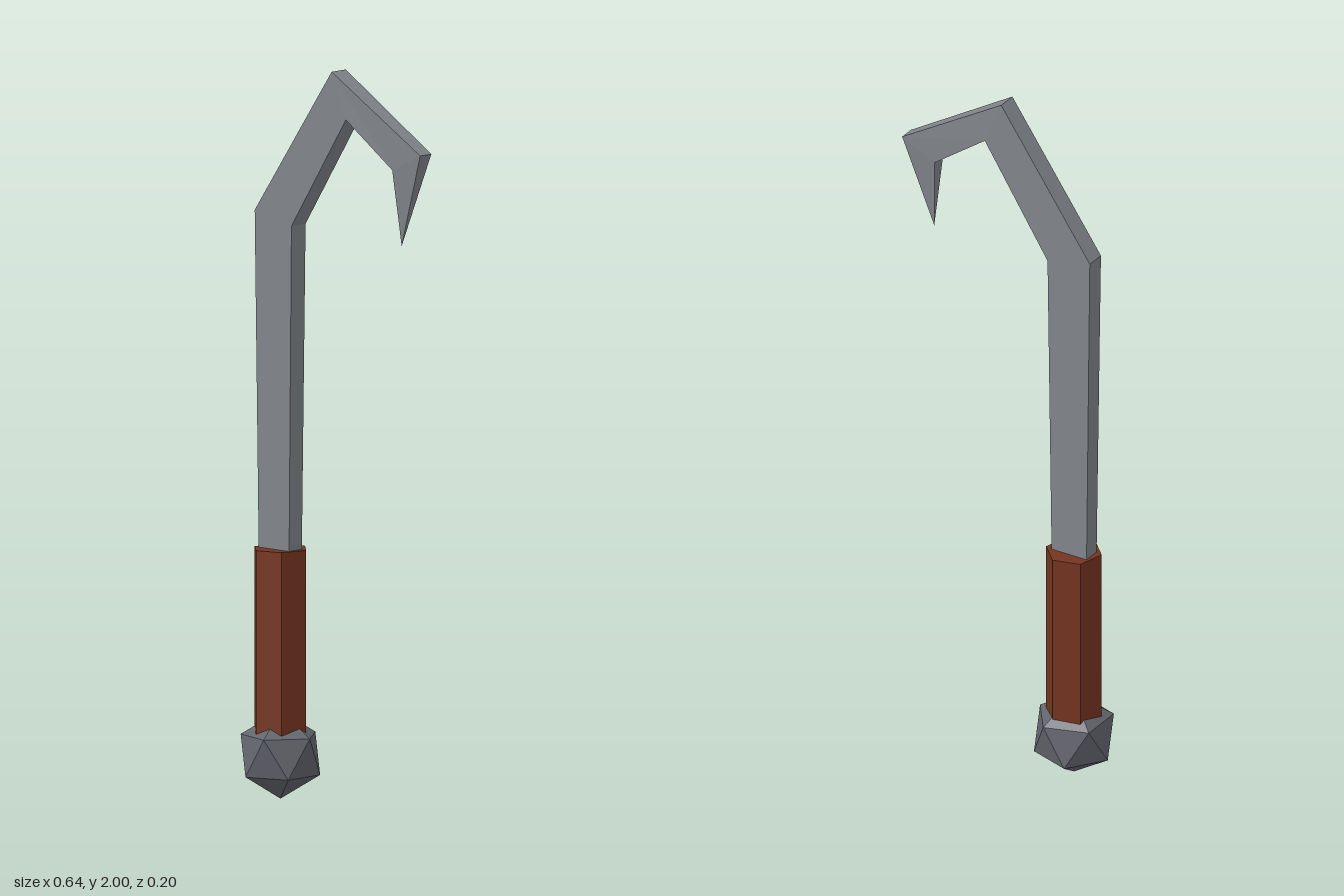
import * as THREE from 'three';

const steel = new THREE.MeshStandardMaterial({ name: 'steel grey', color: 0x81858a, flatShading: true });
const iron = new THREE.MeshStandardMaterial({ name: 'dark iron', color: 0x63656d, flatShading: true });
const leather = new THREE.MeshStandardMaterial({ name: 'brown leather', color: 0x763521, flatShading: true });

const AXIS_X = -0.213;

// Sweeps rectangular sections: [outer x, outer y, inner x, inner y, half thickness]
function sweepBlade(sections) {
  const corners = sections.map(([ox, oy, ix, iy, h]) => [
    [ox, oy, h], [ix, iy, h], [ix, iy, -h], [ox, oy, -h],
  ]);
  const positions = [];
  const last = corners.length - 1;
  for (let i = 0; i < last; i++) {
    for (let j = 0; j < 4; j++) {
      const k = (j + 1) % 4;
      const [a, b, c, d] = [corners[i][j], corners[i][k], corners[i + 1][k], corners[i + 1][j]];
      positions.push(...a, ...b, ...c);
      // The final segment closes to a single point
      if (i < last - 1) positions.push(...a, ...c, ...d);
    }
  }
  // Closed base inside the grip
  const [a, b, c, d] = corners[0];
  positions.push(...a, ...c, ...b, ...a, ...d, ...c);
  const geometry = new THREE.BufferGeometry();
  geometry.setAttribute('position', new THREE.Float32BufferAttribute(positions, 3));
  geometry.computeVertexNormals();
  return geometry;
}

export function createModel() {
  const group = new THREE.Group();
  group.name = 'hookedBlade';

  const add = (name, geometry, material) => {
    const mesh = new THREE.Mesh(geometry, material);
    mesh.name = name;
    group.add(mesh);
    return mesh;
  };

  // Faceted pommel standing on one of its corners
  const ball = new THREE.IcosahedronGeometry(0.12, 0);
  ball.rotateZ(-Math.atan(2 / (1 + Math.sqrt(5))));
  add('pommel', ball, iron).position.set(AXIS_X, 0.12, 0);

  // Six-sided grip
  const grip = new THREE.CylinderGeometry(0.078, 0.078, 0.53, 6, 1, false, -Math.PI / 12);
  add('grip', grip, leather).position.set(AXIS_X, 0.415, 0);

  // Shaft, bend, peak and pointed hook
  add('blade', sweepBlade([
    [-0.268, 0.6, -0.159, 0.6, 0.025],
    [-0.281, 1.595, -0.147, 1.565, 0.028],
    [0, 2, 0.052, 1.875, 0.028],
    [0.318, 1.805, 0.216, 1.755, 0.022],
    [0.23, 1.548, 0.23, 1.548, 0],
  ]), steel);

  return group;
}
